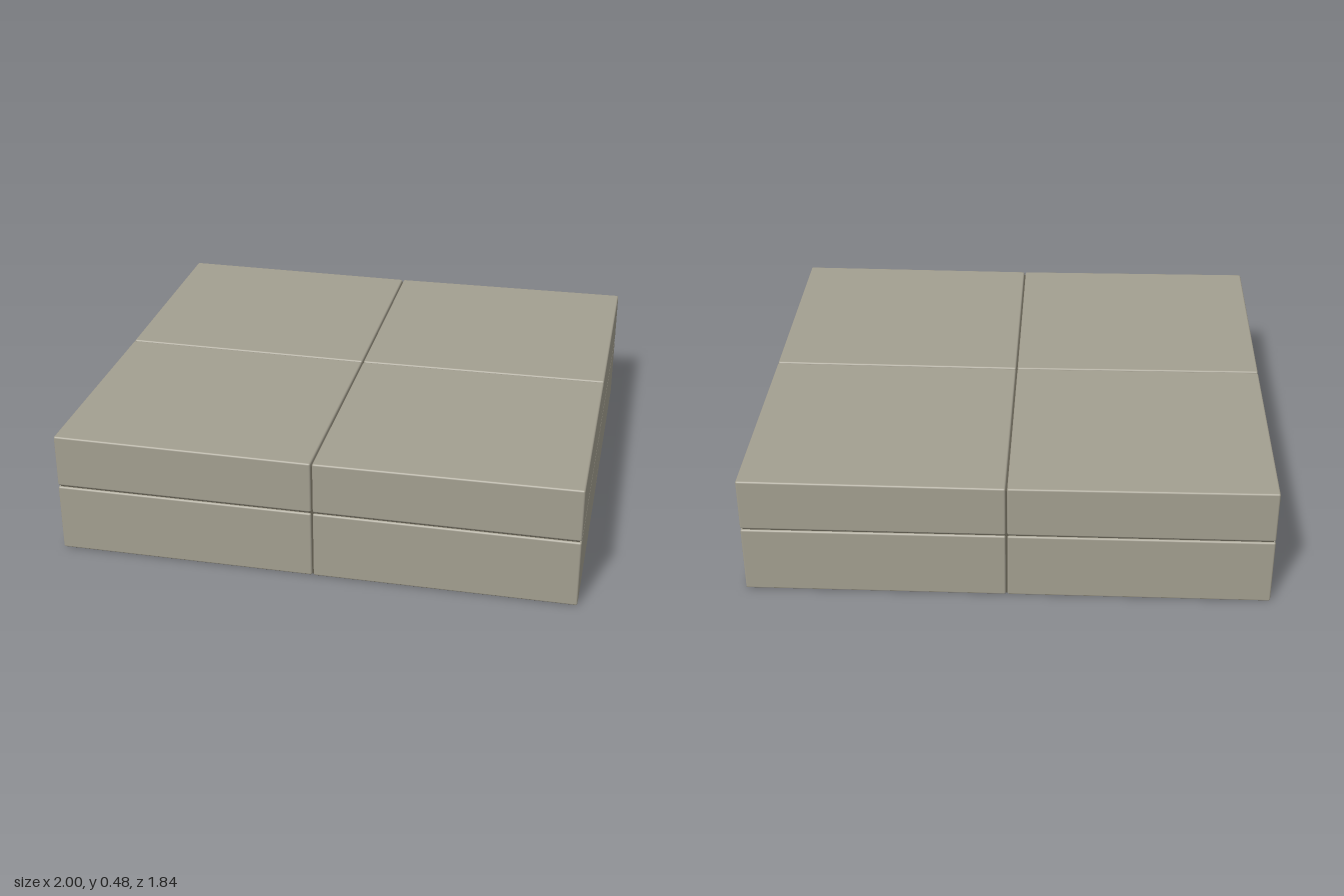
import * as THREE from 'three';
import { RoundedBoxGeometry } from 'three/addons/geometries/RoundedBoxGeometry.js';

const HALF_X = 1, HALF_Z = 0.92, SEAM = 0.272, TOP = 0.485;
const GAP = 0.006; // width of the joint between blocks

export function createModel() {
  const group = new THREE.Group();
  const stone = new THREE.MeshStandardMaterial({ color: 0xa39f90 });
  stone.name = 'warm grey stone';
  const darkStone = new THREE.MeshStandardMaterial({ color: 0x625e51 });
  darkStone.name = 'dark stone';

  // Box sides in the order +x, -x, +y, -y, +z, -z: the underside is dark
  const blockMaterials = [stone, stone, stone, darkStone, stone, stone];

  // One softly edged block filling a quarter of a layer
  function block(name, sx, sz, y0, y1, dip) {
    const w = HALF_X - GAP / 2, d = HALF_Z - GAP / 2, h = y1 - y0;
    const geo = new RoundedBoxGeometry(w, h, d, 2, 0.007);
    geo.translate(sx * (GAP / 2 + w / 2), y0 + h / 2, sz * (GAP / 2 + d / 2));
    // The top surface sinks slightly towards the middle
    const p = geo.attributes.position;
    for (let i = 0; i < p.count; i++) {
      const reach = (Math.abs(p.getX(i)) / HALF_X + Math.abs(p.getZ(i)) / HALF_Z) / 2;
      const up = (p.getY(i) - y0) / h;
      if (up > 0.5) p.setY(i, p.getY(i) - dip * (1 - reach));
    }
    const mesh = new THREE.Mesh(geo, blockMaterials);
    mesh.name = name;
    group.add(mesh);
  }

  // Two layers of four blocks
  for (const sx of [-1, 1]) {
    for (const sz of [-1, 1]) {
      const place = (sz > 0 ? 'Front' : 'Back') + (sx > 0 ? 'Left' : 'Right');
      block('lowerBlock' + place, sx, sz, 0, SEAM - GAP / 2, 0);
      block('upperBlock' + place, sx, sz, SEAM + GAP / 2, TOP, 0.01);
    }
  }

  // Recessed core closing the bottoms of the joints
  const inset = 0.008, coreBottom = 0.004, coreTop = TOP - 0.01 - inset;
  const core = new THREE.Mesh(
    new THREE.BoxGeometry(2 * (HALF_X - inset), coreTop - coreBottom, 2 * (HALF_Z - inset)), darkStone);
  core.position.y = (coreTop + coreBottom) / 2;
  core.name = 'jointFill';
  group.add(core);

  return group;
}
